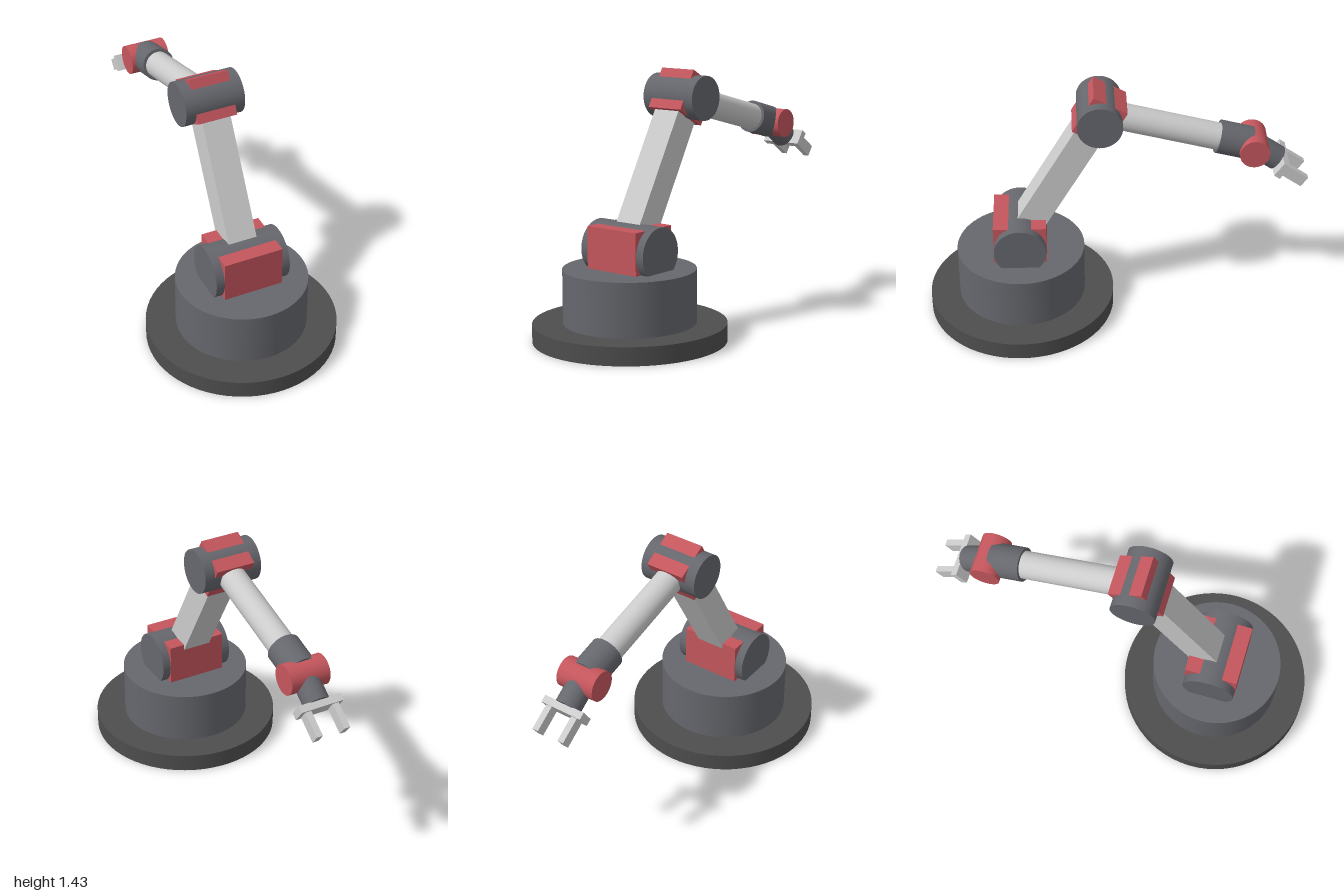
import * as THREE from 'three';

const paint = (color) => new THREE.MeshStandardMaterial({ color });

export function createModel() {
  const light = paint(0xcccccc);
  const red = paint(0xc4565d);
  const dark = paint(0x66676d);
  const darker = paint(0x4e4e4f);

  function add(parent, name, geometry, material, x = 0, y = 0, z = 0) {
    const mesh = new THREE.Mesh(geometry, material);
    mesh.name = name;
    mesh.position.set(x, y, z);
    parent.add(mesh);
    return mesh;
  }
  const box = (w, h, d) => new THREE.BoxGeometry(w, h, d);
  const disc = (r, h) => new THREE.CylinderGeometry(r, r, h, 64);
  // Drum lying across the arm
  const drum = (r, width) => disc(r, width).rotateZ(Math.PI / 2);
  // Rod running forward (-z) from distance a to distance b
  const rod = (r, a, b) => disc(r, b - a).rotateX(Math.PI / 2).translate(0, 0, -(a + b) / 2);
  // Joint at a forward reach and height, pitched up from the horizontal
  function joint(parent, name, reach, height, pitch) {
    const g = new THREE.Group();
    g.name = name;
    g.position.set(0, height, -reach);
    g.rotation.x = pitch;
    parent.add(g);
    return g;
  }

  const model = new THREE.Group();
  model.name = 'robotArm';

  // Base, with everything turned toward the arm's heading
  const turntable = new THREE.Group();
  turntable.name = 'turntable';
  turntable.position.set(0.113, 0, 0.475);
  turntable.rotation.y = 0.433;
  model.add(turntable);
  add(turntable, 'basePlate', disc(0.525, 0.1), darker, 0, 0.05, 0);
  add(turntable, 'basePedestal', disc(0.36, 0.295), dark, 0, 0.2475, 0);

  // Shoulder
  add(turntable, 'shoulderDrum', drum(0.145, 0.43), dark, 0, 0.495, 0);
  add(turntable, 'shoulderBlock', box(0.336, 0.245, 0.294), red, 0, 0.503, 0);

  // Joint positions in the arm's plane: forward reach, height
  const shoulder = [0, 0.495], elbow = [0.446, 1.278], wrist = [1.285, 1.057];
  const pitchOf = (a, b) => Math.atan2(b[1] - a[1], b[0] - a[0]);
  const lengthOf = (a, b) => Math.hypot(b[0] - a[0], b[1] - a[1]);

  // Upper arm, with the elbow block square to it
  const upper = joint(turntable, 'upperArm', ...shoulder, pitchOf(shoulder, elbow));
  const upperLength = lengthOf(shoulder, elbow);
  add(upper, 'upperArmBeam', box(0.163, 0.16, upperLength), light, 0, 0, -upperLength / 2);
  add(upper, 'elbowBlock', box(0.222, 0.206, 0.238), red, 0, 0, -upperLength);
  add(upper, 'elbowDrum', drum(0.122, 0.338), dark, 0, 0, -upperLength);

  // Forearm
  const fore = joint(turntable, 'forearm', ...elbow, pitchOf(elbow, wrist));
  add(fore, 'forearmTube', rod(0.075, 0, 0.7), light);
  add(fore, 'forearmCollar', rod(0.092, 0.668, 0.85), dark);

  // Wrist and gripper
  const hand = joint(turntable, 'hand', ...wrist, -0.61);
  add(hand, 'wristDrum', drum(0.082, 0.225), red);
  add(hand, 'wristRod', rod(0.07, 0, 0.168), dark);
  add(hand, 'gripperPlate', box(0.245, 0.092, 0.04), light, 0, 0, -0.185);
  for (const side of [-1, 1]) {
    add(hand, side > 0 ? 'leftFinger' : 'rightFinger', box(0.035, 0.066, 0.15), light, side * 0.08, 0, -0.27);
  }
  return model;
}
